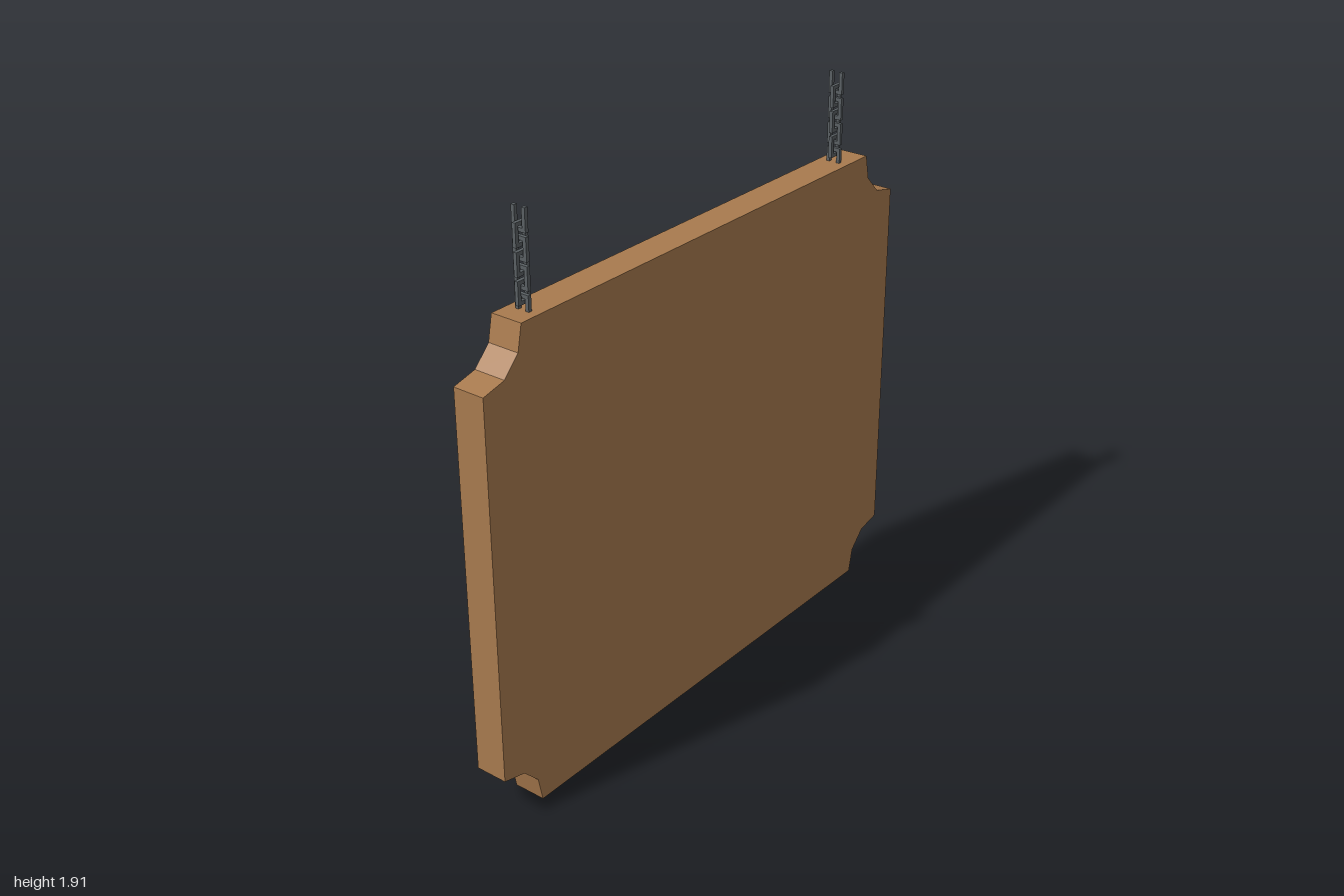
import * as THREE from 'three';

const wood = new THREE.MeshStandardMaterial({ color: 0xa87a4e, flatShading: true });
const iron = new THREE.MeshStandardMaterial({ color: 0x5a6064, flatShading: true });

const TOP = 1.61, DEPTH = 0.11;
const WIRE = 0.012, LINK_W = 0.05, LINK_H = 0.073, PITCH = 0.085;

// Flat panel with a scooped notch at each corner
function makeBoard() {
  const notch = [[0.84, 0], [0.857, 0.083], [0.915, 0.143], [1, 0.163]];
  const flipped = [...notch].reverse();
  const outline = [
    ...notch,
    ...flipped.map(([x, y]) => [x, TOP - y]),
    ...notch.map(([x, y]) => [-x, TOP - y]),
    ...flipped.map(([x, y]) => [-x, y]),
  ].map(([x, y]) => new THREE.Vector2(x, y));
  const geometry = new THREE.ExtrudeGeometry(new THREE.Shape(outline), { depth: DEPTH, bevelEnabled: false });
  geometry.translate(0, 0, -DEPTH / 2);
  const board = new THREE.Mesh(geometry, wood);
  board.name = 'board';
  return board;
}

// Rectangular wire link, optionally left open at the top
function makeLinkGeometry(open) {
  const w = LINK_W / 2, h = LINK_H / 2, iw = w - WIRE, ih = h - WIRE;
  const points = (list) => list.map(([x, y]) => new THREE.Vector2(x, y));
  let shape;
  if (open) {
    shape = new THREE.Shape(points([[-w, -h], [w, -h], [w, h], [iw, h], [iw, -ih], [-iw, -ih], [-iw, h], [-w, h]]));
  } else {
    shape = new THREE.Shape(points([[-w, -h], [w, -h], [w, h], [-w, h]]));
    shape.holes.push(new THREE.Path(points([[-iw, -ih], [-iw, ih], [iw, ih], [iw, -ih]])));
  }
  const geometry = new THREE.ExtrudeGeometry(shape, { depth: WIRE, bevelEnabled: false });
  return geometry.translate(0, 0, -WIRE / 2);
}

// Chain of links turned alternately, the lowest sunk into the board
function makeChain(x, name) {
  const chain = new THREE.Group();
  chain.name = name;
  const closed = makeLinkGeometry(false), hook = makeLinkGeometry(true);
  for (let i = 0; i < 7; i++) {
    const link = new THREE.Mesh(i === 6 ? hook : closed, iron);
    link.name = i === 6 ? 'openLink' : 'chainLink';
    link.position.y = 1.623 + (i * PITCH) / 2;
    if (i % 2 === 0) link.rotation.y = Math.PI / 2;
    chain.add(link);
  }
  chain.position.x = x;
  return chain;
}

export function createModel() {
  const sign = new THREE.Group();
  sign.name = 'hangingSign';
  sign.add(makeBoard(), makeChain(0.73, 'leftChain'), makeChain(-0.77, 'rightChain'));
  return sign;
}
